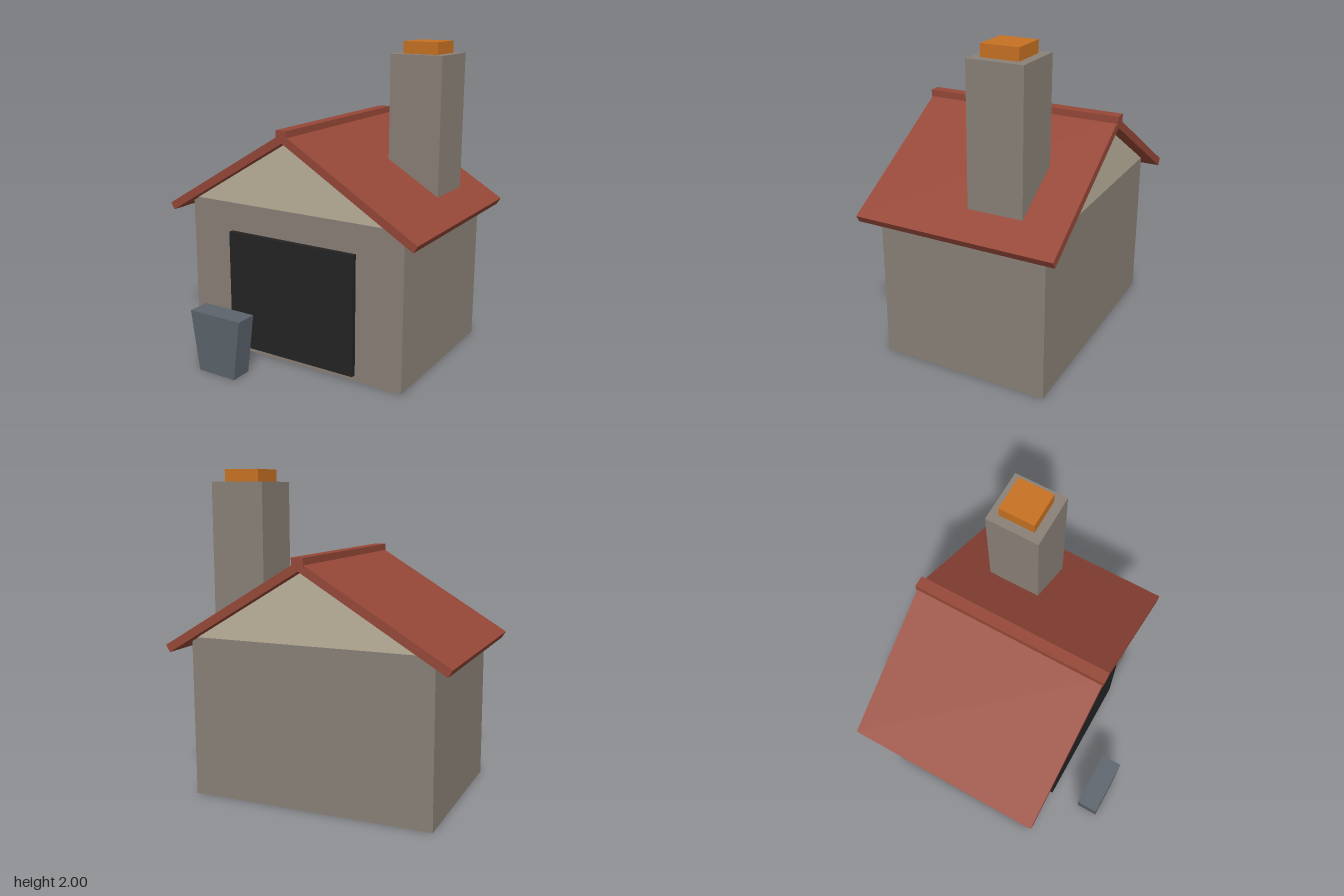
import * as THREE from 'three';

const mat = (name, color) => {
  const m = new THREE.MeshStandardMaterial({ color });
  m.name = name;
  return m;
};

export function createModel() {
  const group = new THREE.Group();
  const stone = mat('stone', 0x8a8178);
  const plaster = mat('plaster', 0xbdb29c);
  const tile = mat('roof tile', 0x964838);
  const black = mat('door black', 0x242424);
  const slate = mat('bin slate', 0x5c646c);
  const orange = mat('chimney orange', 0xc87222);

  const add = (name, geometry, material) => {
    const mesh = new THREE.Mesh(geometry, material);
    mesh.name = name;
    group.add(mesh);
    return mesh;
  };
  // Box given by its limits on each axis
  const box = (name, material, x0, x1, y0, y1, z0, z1) =>
    add(name, new THREE.BoxGeometry(x1 - x0, y1 - y0, z1 - z0), material)
      .position.set((x0 + x1) / 2, (y0 + y1) / 2, (z0 + z1) / 2);
  // Front outline extruded from z0 to z1
  const prism = (name, material, points, z0, z1) => {
    const shape = new THREE.Shape(points.map(([x, y]) => new THREE.Vector2(x, y)));
    const geometry = new THREE.ExtrudeGeometry(shape, { depth: z1 - z0, bevelEnabled: false });
    add(name, geometry, material).position.z = z0;
  };

  // House body and door
  box('walls', stone, -0.77, 0.77, 0, 1, -0.675, 0.4);
  box('garageDoor', black, -0.46, 0.455, 0.04, 0.81, 0.39, 0.432);

  // Gable sits slightly proud of the walls
  prism('gable', plaster, [[-0.75, 1], [0.75, 1], [0, 1.45]], -0.69, 0.415);

  // Pitched roof with ridge cap
  prism('roof', tile, [
    [-0.893, 0.955], [-0.867, 0.912], [0, 1.432],
    [0.867, 0.912], [0.893, 0.955], [0, 1.49],
  ], -0.772, 0.49);
  box('ridgeCap', tile, -0.037, 0.037, 1.453, 1.51, -0.78, 0.497);

  // Chimney
  box('chimney', stone, 0.365, 0.71, 1.04, 1.925, -0.503, -0.158);
  box('chimneyPot', orange, 0.422, 0.652, 1.92, 2, -0.446, -0.216);

  // Tapered bin in front of the door
  prism('bin', slate, [[-0.442, 0], [-0.172, 0], [-0.122, 0.386], [-0.497, 0.386]], 0.64, 0.78);

  return group;
}
